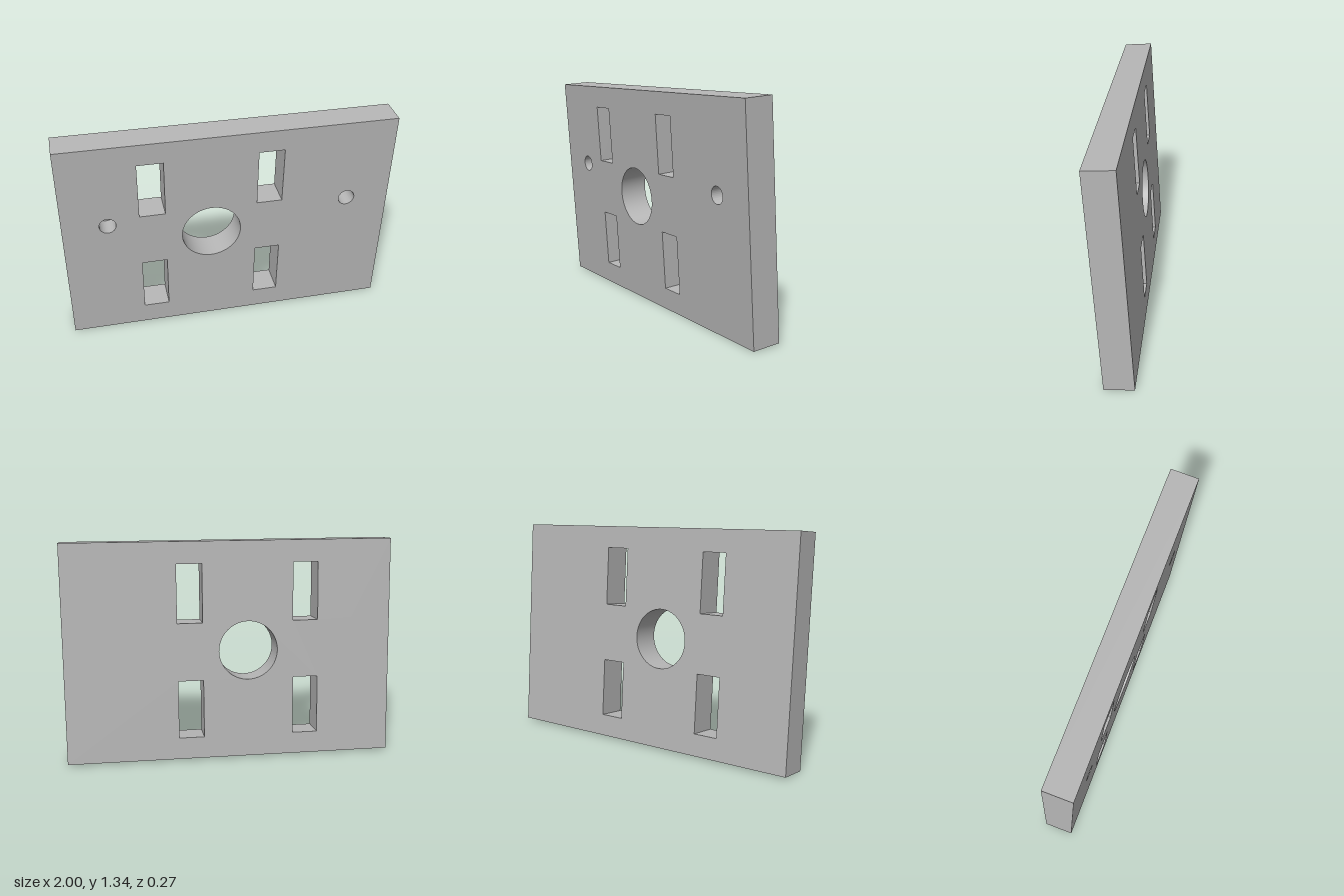
import * as THREE from 'three';
import { toCreasedNormals } from 'three/addons/utils/BufferGeometryUtils.js';

export function createModel() {
  const WIDTH = 2, HEIGHT = 1.333, THICK = 0.175, TILT = THREE.MathUtils.degToRad(4);
  const CENTRE_X = -0.113;            // axis of the bore and slot pattern
  const PIN_X = 0.733, PIN_Y = 0.137, PIN_R = 0.05, PIN_DEPTH = 0.12;
  const grey = new THREE.MeshStandardMaterial({ color: 0xb6b6b6 });
  grey.name = 'plain grey';

  const rectangle = (path, x, y, w, h) => {
    path.moveTo(x - w / 2, y - h / 2);
    path.lineTo(x + w / 2, y - h / 2);
    path.lineTo(x + w / 2, y + h / 2);
    path.lineTo(x - w / 2, y + h / 2);
    path.closePath();
    return path;
  };
  const roundHole = (x, y, r) => {
    const hole = new THREE.Path();
    hole.absarc(x, y, r, 0, Math.PI * 2);
    return hole;
  };

  // Plate outline with the bore, four slots and two pin holes
  const outline = rectangle(new THREE.Shape(), 0, 0, WIDTH, HEIGHT);
  outline.holes.push(roundHole(CENTRE_X, 0, 0.18));
  for (const sx of [-1, 1]) {
    for (const sy of [-1, 1]) {
      outline.holes.push(rectangle(new THREE.Path(), CENTRE_X + sx * 0.355, sy * 0.355, 0.154, 0.356));
    }
    outline.holes.push(roundHole(sx * PIN_X, PIN_Y, PIN_R));
  }

  const board = new THREE.Group();
  board.name = 'board';
  const plateGeometry = new THREE.ExtrudeGeometry(outline, { depth: THICK, bevelEnabled: false, curveSegments: 32 });
  plateGeometry.translate(0, 0, -THICK / 2);
  const plate = new THREE.Mesh(toCreasedNormals(plateGeometry, 0.5), grey);
  plate.name = 'plate';
  board.add(plate);

  // Pin holes are blind: a floor inside, and a closed back face
  for (const [side, sx] of [['left', 1], ['right', -1]]) {
    const floor = new THREE.Mesh(new THREE.CircleGeometry(PIN_R, 64), grey);
    floor.name = side + 'PinHoleFloor';
    floor.position.set(sx * PIN_X, PIN_Y, THICK / 2 - PIN_DEPTH);
    const back = new THREE.Mesh(new THREE.CircleGeometry(PIN_R, 64), grey);
    back.name = side + 'PinHoleBack';
    back.position.set(sx * PIN_X, PIN_Y, -THICK / 2);
    back.rotation.y = Math.PI;
    board.add(floor, back);
  }

  // Lean the board forward, lowest edge on the ground
  board.rotation.x = TILT;
  board.position.y = (HEIGHT * Math.cos(TILT) + THICK * Math.sin(TILT)) / 2;

  const model = new THREE.Group();
  model.name = 'slottedPlate';
  model.add(board);
  return model;
}
